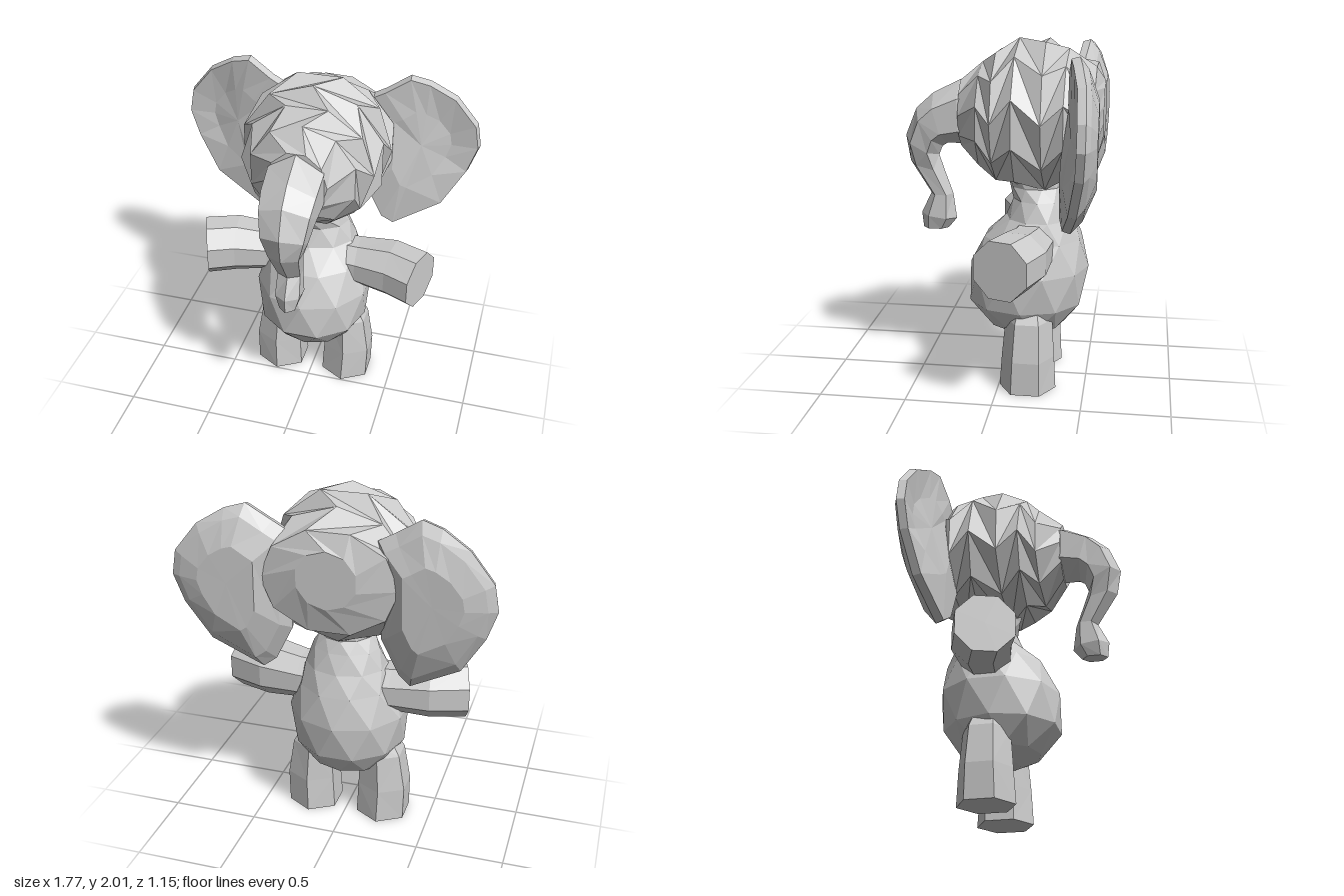
import * as THREE from 'three';

const material = new THREE.MeshStandardMaterial({ color: 0xcccccc, flatShading: true });

// Closed faceted skin over rings of equal point count; diagonals alternate per band.
function loft(name, rings) {
  const n = rings[0].length, tris = [];
  for (let k = 0; k < rings.length - 1; k++) {
    for (let j = 0; j < n; j++) {
      const i = (j + 1) % n;
      const a = rings[k][j], a2 = rings[k][i], b = rings[k + 1][j], b2 = rings[k + 1][i];
      if (k % 2 === 0) tris.push([a, a2, b], [b, a2, b2]);
      else tris.push([a, a2, b2], [a, b2, b]);
    }
  }
  const mid = (r) => r.reduce((s, p) => s.add(p), new THREE.Vector3()).divideScalar(n);
  const first = rings[0], last = rings[rings.length - 1];
  const c0 = mid(first), c1 = mid(last);
  for (let j = 0; j < n; j++) {
    const i = (j + 1) % n;
    tris.push([c0, first[i], first[j]], [c1, last[j], last[i]]);
  }
  // Turn every face outward, using the sign of the enclosed volume
  const cross = new THREE.Vector3();
  const volume = tris.reduce((s, [a, b, c]) => s + a.dot(cross.crossVectors(b, c)), 0);
  const points = tris.flatMap(([a, b, c]) => (volume < 0 ? [a, c, b] : [a, b, c]));
  const geometry = new THREE.BufferGeometry().setFromPoints(points);
  geometry.computeVertexNormals();
  const mesh = new THREE.Mesh(geometry, material);
  mesh.name = name;
  return mesh;
}

// Ring of n points; place(c, s) turns the cosine and sine into a position.
function ring(n, turn, place) {
  return Array.from({ length: n }, (_, j) => {
    const t = ((j + turn) / n) * Math.PI * 2;
    return new THREE.Vector3(...place(Math.cos(t), Math.sin(t)));
  });
}

const between = (lo, hi, t) => (lo + hi) / 2 + ((hi - lo) / 2) * t;

export function createModel() {
  const model = new THREE.Group();

  // Head: [z, bottom, top, half width], from back to front; the wide back joins the ears
  const head = [
    [-0.575, 1.46, 1.78, 0.17], [-0.53, 1.3, 1.88, 0.38], [-0.37, 1.19, 1.95, 0.42],
    [-0.25, 1.15, 2.015, 0.42], [-0.09, 1.16, 2.005, 0.42], [0.03, 1.2, 1.95, 0.38],
    [0.12, 1.26, 1.87, 0.31], [0.24, 1.39, 1.78, 0.17],
  ];
  model.add(loft('head', head.map(([z, lo, hi, w], k) =>
    ring(10, k % 2 ? 0 : 0.5, (c, s) => [w * c, between(lo, hi, s * 1.01), z]))));

  // Trunk with a front ridge: [front z, front y, back z, back y, half width], face to tip
  const trunk = [
    [0.16, 1.79, 0.17, 1.36, 0.13], [0.25, 1.77, 0.24, 1.4, 0.155],
    [0.41, 1.69, 0.33, 1.4, 0.15], [0.51, 1.6, 0.36, 1.38, 0.14],
    [0.575, 1.44, 0.38, 1.33, 0.12], [0.55, 1.29, 0.35, 1.24, 0.085],
    [0.43, 1.1, 0.3, 1.1, 0.065], [0.49, 0.98, 0.28, 0.95, 0.07],
    [0.48, 0.89, 0.33, 0.89, 0.045],
  ];
  model.add(loft('trunk', trunk.map(([fz, fy, bz, by, w]) =>
    ring(6, 0, (c, s) => [w * s / 0.87, between(by, fy, c), between(bz, fz, c)]))));

  // Body and neck: [y, back z, front z, half width]
  const body = [
    [0.285, -0.25, -0.04, 0.11], [0.34, -0.36, 0.08, 0.23], [0.48, -0.465, 0.195, 0.32],
    [0.69, -0.495, 0.19, 0.34], [0.87, -0.46, 0.11, 0.28], [0.99, -0.41, -0.02, 0.23],
    [1.1, -0.37, -0.06, 0.19], [1.17, -0.34, -0.04, 0.15], [1.24, -0.34, -0.03, 0.15],
  ];
  model.add(loft('body', body.map(([y, zb, zf, w], k) =>
    ring(10, k % 2 ? 0.5 : 0, (c, s) => [w * c * 1.02, y, between(zb, zf, s * 1.02)]))));

  // Ear rim: [x, y, z], clockwise from the upper root
  const rim = [
    [0.24, 1.82, -0.42], [0.33, 1.87, -0.42], [0.47, 1.96, -0.44], [0.58, 1.93, -0.46],
    [0.73, 1.84, -0.49], [0.86, 1.68, -0.5], [0.885, 1.54, -0.5], [0.83, 1.38, -0.49],
    [0.7, 1.16, -0.45], [0.42, 1.0, -0.4], [0.35, 1.05, -0.38], [0.25, 1.25, -0.38],
  ];
  // Ear layers, front to back: [scale about the ear centre, z offset, blend to z, that z]
  const layers = [
    [0.5, 0.02, 0, 0], [0.97, 0.025, 0, 0],
    [1, -0.02, 0, 0], [0.85, -0.02, 0.45, -0.55], [0.5, 0, 0.9, -0.58],
  ];

  // Arm: [x, z, y, half depth, half height, end slant], from shoulder to hand
  const arm = [
    [0.14, -0.18, 0.85, 0.14, 0.13, 0], [0.27, -0.17, 0.85, 0.145, 0.135, 0],
    [0.48, -0.14, 0.855, 0.165, 0.16, 0.15], [0.66, -0.07, 0.85, 0.155, 0.165, 0.37],
  ];

  // Leg: [y, inner x, outer x, back z, front z]
  const leg = [
    [0, 0.07, 0.355, -0.335, -0.005], [0.2, 0.08, 0.36, -0.325, -0.02],
    [0.42, 0.09, 0.325, -0.31, -0.04], [0.5, 0.11, 0.28, -0.28, -0.07],
  ];

  for (const [side, m] of [['left', 1], ['right', -1]]) {
    model.add(loft(side + 'Ear', layers.map(([f, dz, blend, z0]) => rim.map(([x, y, z]) =>
      new THREE.Vector3(m * (0.56 + (x - 0.56) * f), 1.54 + (y - 1.54) * f,
        THREE.MathUtils.lerp(z, z0, blend) + dz)))));
    model.add(loft(side + 'Arm', arm.map(([x, z, y, d, h, slant]) =>
      ring(8, 0.5, (c, s) => [m * (x - slant * d * c), y + h * s * 1.05, z + d * c * 1.05]))));
    model.add(loft(side + 'Leg', leg.map(([y, xi, xo, zb, zf]) =>
      ring(6, 0.5, (c, s) => [m * between(xi, xo, c / 0.87), y, between(zb, zf, s)]))));
  }
  return model;
}
